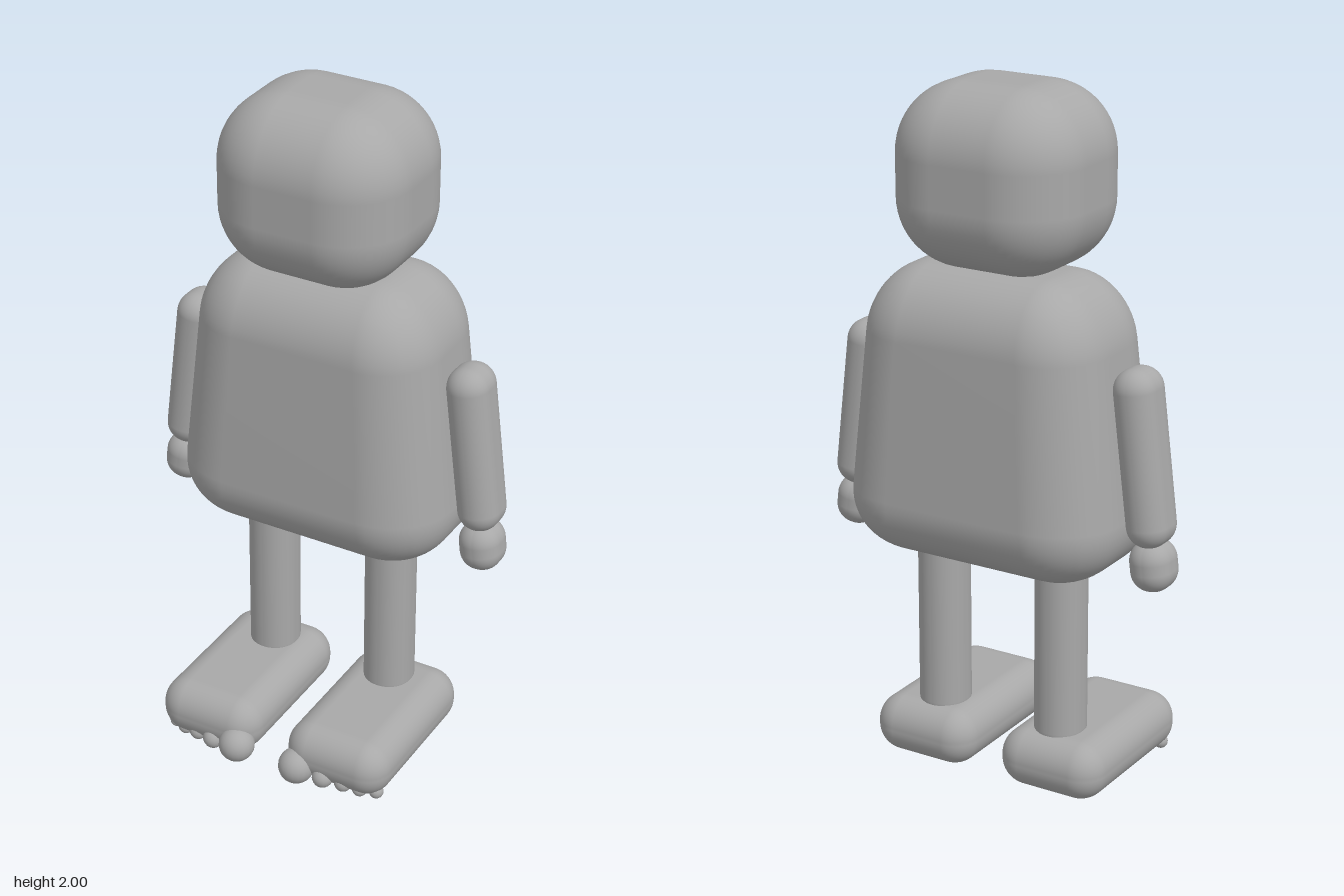
import * as THREE from 'three';
import { RoundedBoxGeometry } from 'three/addons/geometries/RoundedBoxGeometry.js';
import { mergeVertices } from 'three/addons/utils/BufferGeometryUtils.js';

const gray = new THREE.MeshStandardMaterial({ color: 0xa8a8a8 });
gray.name = 'plain gray';

function add(parent, name, geometry, x, y, z) {
  const mesh = new THREE.Mesh(geometry, gray);
  mesh.name = name;
  mesh.position.set(x, y, z);
  parent.add(mesh);
  return mesh;
}

const softBox = (w, h, d, r) => new RoundedBoxGeometry(w, h, d, 7, r);

// Rounded box that narrows towards the top
function taperedBox(w, h, d, r, taperX, taperZ) {
  let g = softBox(w, h, d, r);
  const p = g.attributes.position;
  for (let i = 0; i < p.count; i++) {
    const y = p.getY(i);
    p.setX(i, p.getX(i) * (1 - taperX * y));
    p.setZ(i, p.getZ(i) * (1 - taperZ * y));
  }
  g.deleteAttribute('uv');
  g.deleteAttribute('normal');
  g = mergeVertices(g, 1e-5);
  g.computeVertexNormals();
  return g;
}

// Toes from big to small: x, y, z, radius
const TOES = [
  [0.1, 0.056, 0.295, 0.053],
  [0.183, 0.042, 0.289, 0.031],
  [0.243, 0.036, 0.276, 0.026],
  [0.292, 0.028, 0.266, 0.023],
  [0.335, 0.021, 0.246, 0.021],
];

export function createModel() {
  const model = new THREE.Group();
  model.name = 'figure';

  add(model, 'head', softBox(0.56, 0.51, 0.5, 0.195), 0, 1.745, -0.063);
  add(model, 'body', taperedBox(0.78, 0.84, 0.496, 0.19, 0.28, 0.18), 0, 1.08, -0.092);

  for (const [side, s] of [['left', 1], ['right', -1]]) {
    // Arm and hand lean outwards
    const arm = add(model, side + 'Arm', softBox(0.124, 0.5, 0.15, 0.061), s * 0.45, 1.032, -0.09);
    const hand = add(model, side + 'Hand', softBox(0.122, 0.145, 0.136, 0.058), s * 0.481, 0.729, -0.087);
    arm.rotation.z = hand.rotation.z = s * 0.12;

    // Leg and foot
    add(model, side + 'Leg', softBox(0.144, 0.66, 0.152, 0.07), s * 0.193, 0.44, -0.089);
    add(model, side + 'Foot', softBox(0.325, 0.17, 0.53, 0.08), s * 0.21, 0.09, 0.042);

    // Row of toes along the front of the foot
    TOES.forEach(([x, y, z, r], i) => {
      add(model, side + 'Toe' + (i + 1), new THREE.SphereGeometry(r, 20, 14), s * x, y, z);
    });
  }
  return model;
}
